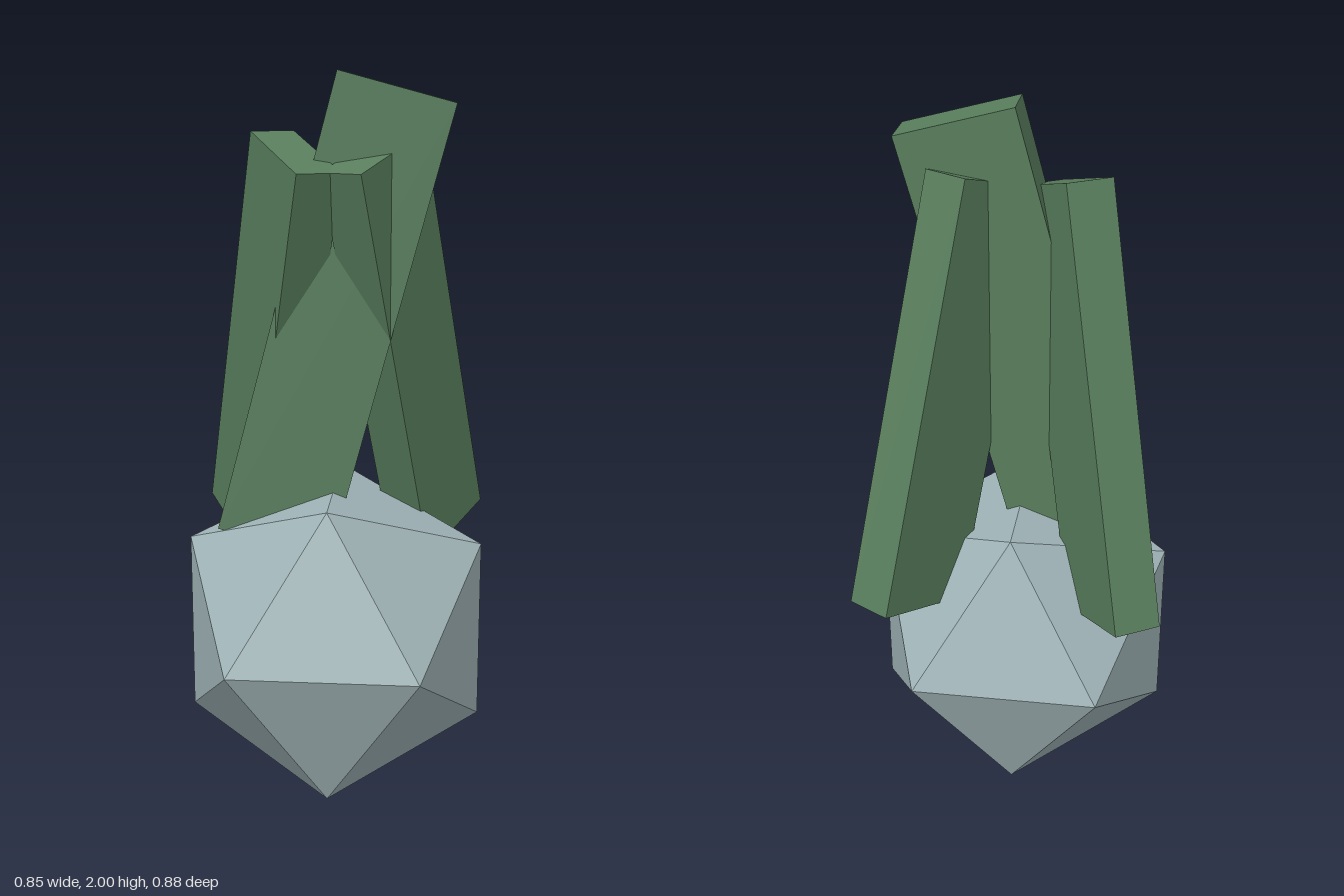
import * as THREE from 'three';

export function createModel() {
  const model = new THREE.Group();
  const stone = new THREE.MeshStandardMaterial({ color: 0x9fb3b6 });
  stone.name = 'grey stone';
  stone.flatShading = true;
  const leaf = new THREE.MeshStandardMaterial({ color: 0x587d5c });
  leaf.name = 'leaf green';
  leaf.flatShading = true;

  // Faceted base, resting on one lower edge
  const base = new THREE.Mesh(new THREE.IcosahedronGeometry(0.495, 0), stone);
  base.name = 'base';
  base.rotation.z = Math.PI / 2;
  base.position.set(0, 0.4225, 0.02);
  model.add(base);

  // Slab blades: tilted in their own plane, then turned about the vertical
  const deg = THREE.MathUtils.degToRad;
  const addBlade = (name, length, position, turn, tilt) => {
    const blade = new THREE.Mesh(new THREE.BoxGeometry(0.329, length, 0.131), leaf);
    blade.name = name;
    blade.position.set(...position);
    blade.rotation.set(0, deg(turn), deg(tilt));
    model.add(blade);
  };
  addBlade('tallBlade', 1.315, [0, 1.322, 0.02], 0, -15);
  addBlade('rightBlade', 1.195, [-0.198, 1.218, -0.115], -60, -18);
  addBlade('leftBlade', 1.195, [0.198, 1.218, -0.115], -120, -18);

  return model;
}
